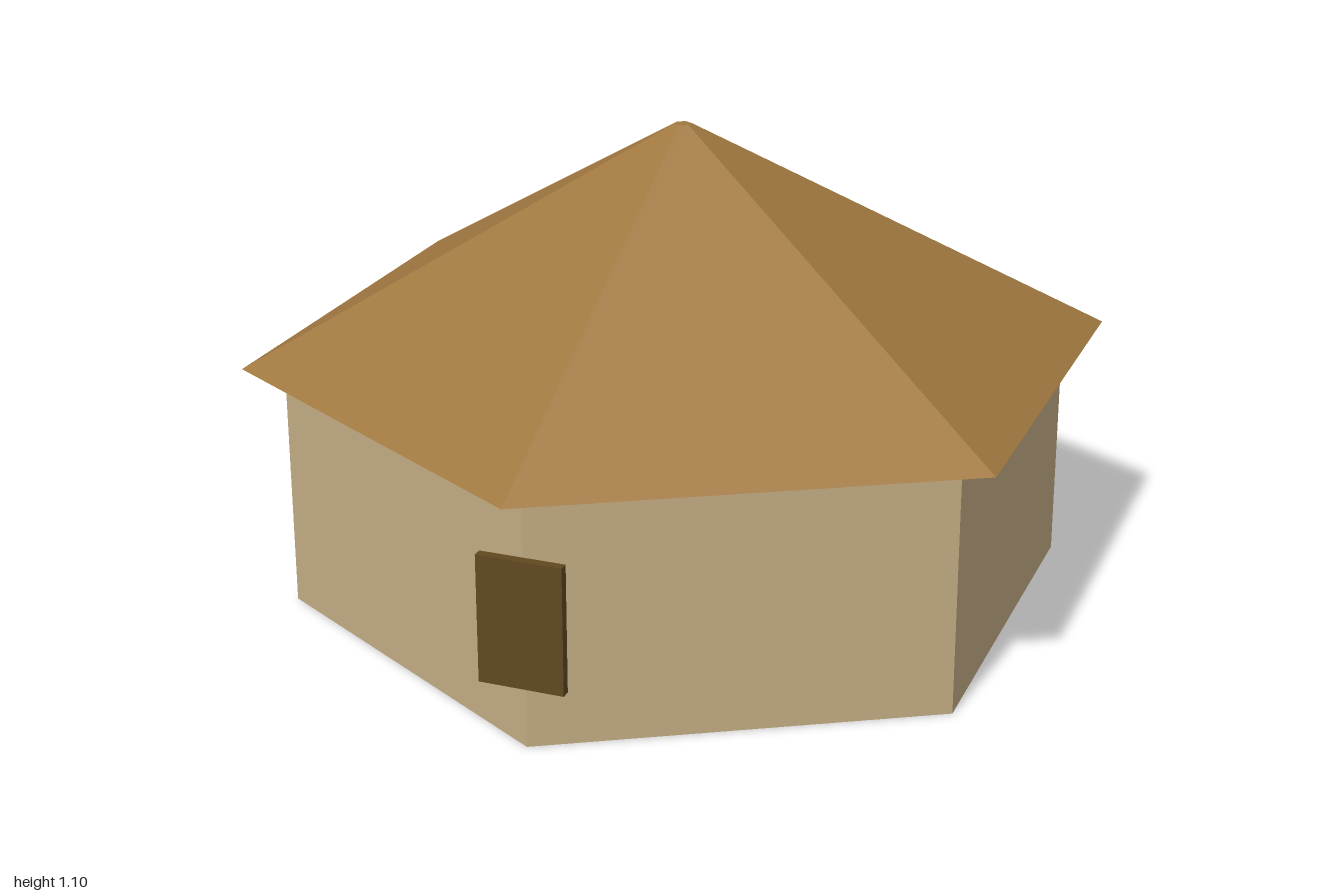
import * as THREE from 'three';

const SIDES = 6;
const WALL_TOP = 0.575;
const ROOF_TOP = 1.1;

export function createModel() {
  const group = new THREE.Group();
  group.name = 'hut';

  const add = (name, geometry, color, y, z = 0) => {
    const material = new THREE.MeshStandardMaterial({ color, flatShading: true });
    const mesh = new THREE.Mesh(geometry, material);
    mesh.name = name;
    mesh.position.set(0, y, z);
    group.add(mesh);
  };

  // Hexagonal walls, one corner facing the front
  add('walls', new THREE.CylinderGeometry(0.905, 0.905, WALL_TOP, SIDES), 0xc4ad85, WALL_TOP / 2);

  // Overhanging thatched roof with a tiny flat tip
  const roofHeight = ROOF_TOP - WALL_TOP;
  add('roof', new THREE.CylinderGeometry(0.02, 1, roofHeight, SIDES), 0xa07840, WALL_TOP + roofHeight / 2);

  // Thin door panel standing just off the front corner
  add('door', new THREE.BoxGeometry(0.19, 0.286, 0.021), 0x604820, 0.288, 0.917);

  return group;
}
